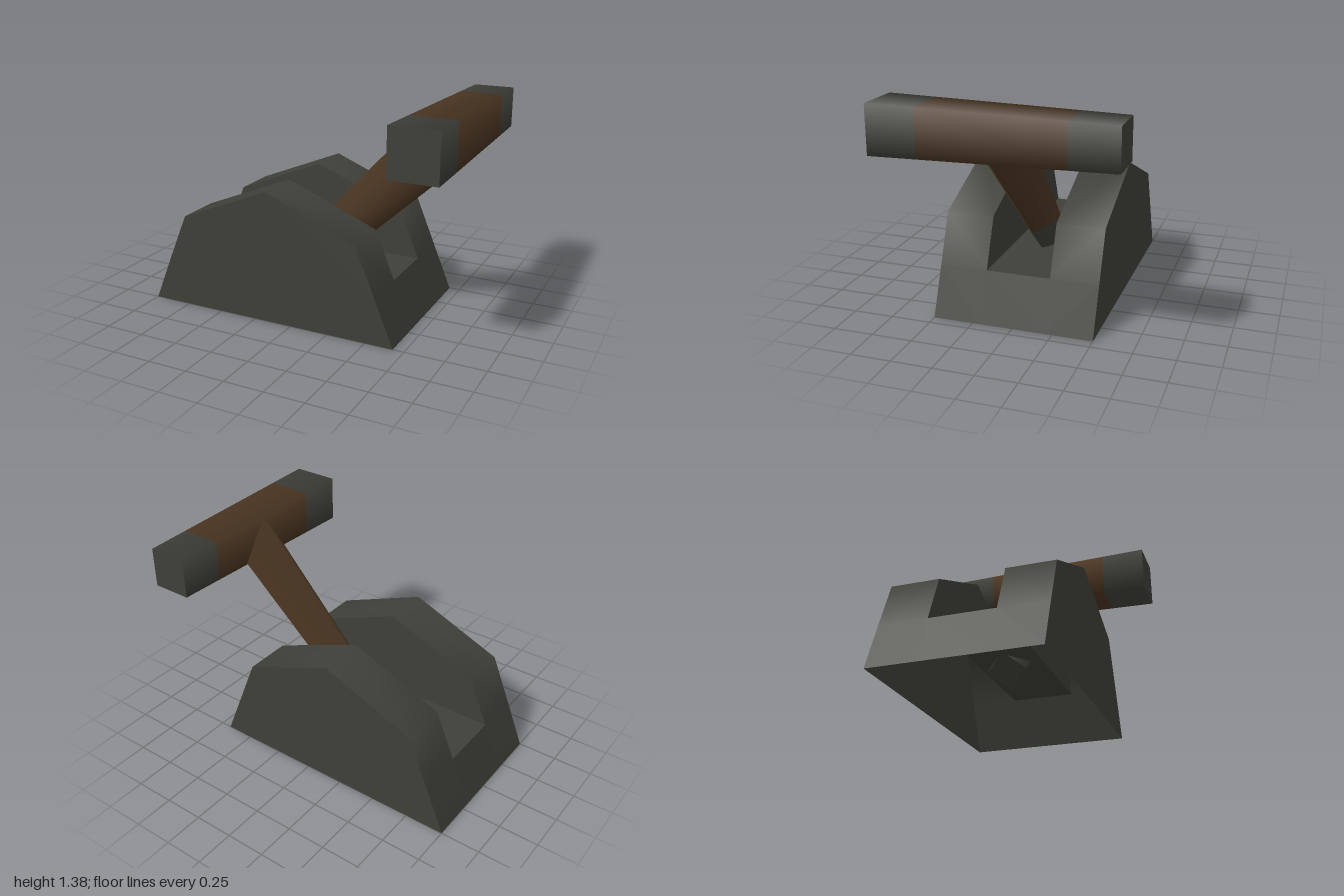
import * as THREE from 'three';

const darkMetal = new THREE.MeshStandardMaterial({ color: 0x40403a, side: THREE.DoubleSide });
const brownGrip = new THREE.MeshStandardMaterial({ color: 0x4d3723, side: THREE.DoubleSide });
darkMetal.name = 'dark metal';
brownGrip.name = 'brown grip';

function add(parent, name, geometry, material) {
  const mesh = new THREE.Mesh(geometry, material);
  mesh.name = name;
  parent.add(mesh);
  return mesh;
}

// Base outline from right foot to left foot, with points where the slot floor meets the ends
const SLOT_Y = 0.3;
const outline = [[-1, 0], [-0.877, SLOT_Y], [-0.75, 0.6], [-0.16, 0.843], [0.43, 0.605], [0.556, SLOT_Y], [0.68, 0]];

// Sheet following an outline between two depths
function strip(points, z0, z1) {
  const pos = [], index = [];
  points.forEach(([x, y], i) => {
    pos.push(x, y, z1, x, y, z0);
    if (i) {
      const a = 2 * i - 2;
      index.push(a, a + 2, a + 3, a, a + 3, a + 1);
    }
  });
  const g = new THREE.BufferGeometry();
  g.setAttribute('position', new THREE.Float32BufferAttribute(pos, 3));
  g.setIndex(index);
  g.computeVertexNormals();
  return g;
}

function panel(points, z) {
  const shape = new THREE.Shape(points.map(([x, y]) => new THREE.Vector2(x, y)));
  return new THREE.ShapeGeometry(shape).translate(0, 0, z);
}

// Hollow base, open underneath, with a slot across the top
function makeBase() {
  const base = new THREE.Group();
  base.name = 'base';
  for (const s of [1, -1]) {
    const half = new THREE.Group();
    half.name = s > 0 ? 'frontCheek' : 'backCheek';
    half.scale.z = s;
    add(half, 'outerWall', panel(outline, 0.5), darkMetal);
    add(half, 'slotWall', panel(outline.slice(1, -1), 0.2), darkMetal);
    add(half, 'rim', strip(outline, 0.2, 0.5), darkMetal);
    base.add(half);
  }
  add(base, 'rightEnd', strip(outline.slice(0, 2), -0.2, 0.2), darkMetal);
  add(base, 'leftEnd', strip(outline.slice(-2), -0.2, 0.2), darkMetal);
  add(base, 'slotFloor', strip([outline[1], outline[5]], -0.2, 0.2), darkMetal);
  return base;
}

// Tapered diamond-section shaft, its dark tip passing through the slot floor
function makeShaft() {
  const shaft = new THREE.Group();
  shaft.name = 'shaft';
  const start = new THREE.Vector3(-0.16, 0.23, 0), end = new THREE.Vector3(0.84, 1.235, 0);
  const d = Math.SQRT1_2;
  const ridges = [[-d, d, 0], [0, 0, 1], [d, -d, 0], [0, 0, -1]].map(r => new THREE.Vector3(...r));
  const at = (k, t) => start.clone().lerp(end, t).addScaledVector(ridges[k % 4], 0.127 + 0.058 * t);
  // Where the paint changes on each face, at its two ridges
  const split = [[0.31, 0.30], [0.22, 0.27], [0.34, 0.30], [0.19, 0.29]];

  const faces = (range) => {
    const pos = [], nor = [], index = [];
    for (let k = 0; k < 4; k++) {
      const [a, b] = range(split[k]);
      const corners = [[k, a[0]], [k + 1, b[0]], [k + 1, b[1]], [k, a[1]]];
      for (const [r, t] of corners) {
        pos.push(...at(r, t).toArray());
        nor.push(...ridges[r % 4].toArray());
      }
      const o = 4 * k;
      index.push(o, o + 1, o + 2, o, o + 2, o + 3);
    }
    // Check the winding against the outward direction of the first face
    const v = i => new THREE.Vector3().fromArray(pos, 3 * i);
    const n = v(1).sub(v(0)).cross(v(2).sub(v(0)));
    if (n.dot(ridges[0].clone().add(ridges[1])) < 0) index.reverse();
    const g = new THREE.BufferGeometry();
    g.setAttribute('position', new THREE.Float32BufferAttribute(pos, 3));
    g.setAttribute('normal', new THREE.Float32BufferAttribute(nor, 3));
    g.setIndex(index);
    return g;
  };
  add(shaft, 'shaftTip', faces(([a, b]) => [[0, a], [0, b]]), darkMetal);
  add(shaft, 'shaftGrip', faces(([a, b]) => [[a, 1], [b, 1]]), brownGrip);

  for (const [name, t, material] of [['lowerCap', 0, darkMetal], ['upperCap', 1, brownGrip]]) {
    const p = [0, 1, 2, 3].map(k => at(k, t));
    const order = [0, 1, 2, 0, 2, 3];
    const n = p[1].clone().sub(p[0]).cross(p[2].clone().sub(p[0]));
    if (n.dot(end.clone().sub(start)) * (t ? 1 : -1) < 0) order.reverse();
    const g = new THREE.BufferGeometry().setFromPoints(order.map(i => p[i]));
    g.computeVertexNormals();
    add(shaft, name, g, material);
  }
  return shaft;
}

// Square crossbar, slightly thicker at the front
function makeHandle() {
  const handle = new THREE.Group();
  handle.name = 'handle';
  handle.position.set(0.85, 1.237, 0);
  const radius = z => (0.1365 + 0.0155 * z) * Math.SQRT2;
  const parts = [
    ['backEnd', -0.71, -0.43, darkMetal],
    ['handleGrip', -0.43, 0.42, brownGrip],
    ['frontEnd', 0.42, 0.71, darkMetal],
  ];
  for (const [name, z0, z1, material] of parts) {
    const g = new THREE.CylinderGeometry(radius(z1), radius(z0), z1 - z0, 4, 1, material === brownGrip);
    g.rotateY(Math.PI / 4).rotateX(Math.PI / 2).translate(0, 0, (z0 + z1) / 2);
    add(handle, name, g, material);
  }
  return handle;
}

export function createModel() {
  const model = new THREE.Group();
  model.name = 'lever';
  model.add(makeBase(), makeShaft(), makeHandle());
  return model;
}
